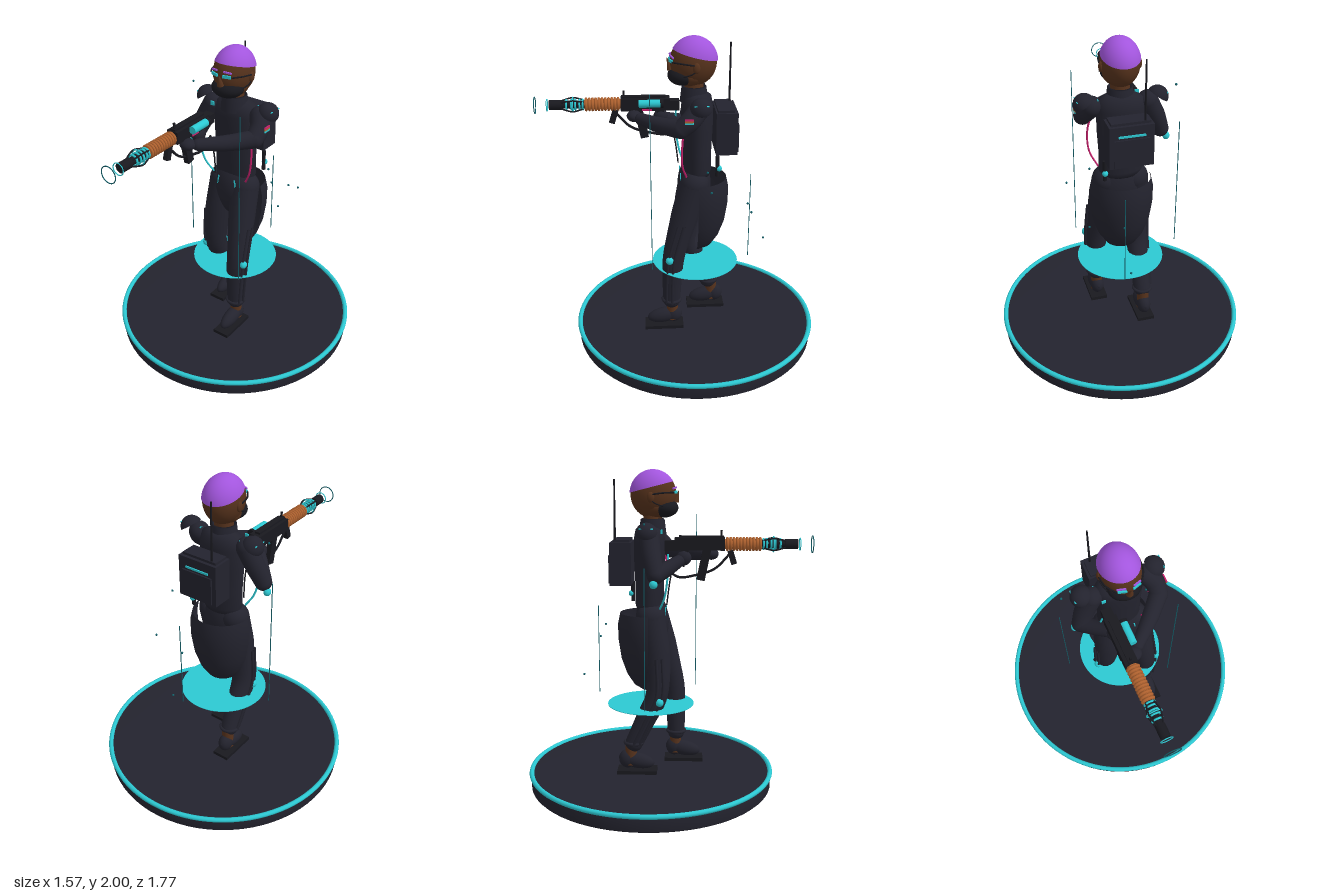
import * as THREE from 'three';

const mat = (name, color, side = THREE.FrontSide) => {
  const m = new THREE.MeshStandardMaterial({ color, side });
  m.name = name;
  return m;
};
const V = (a) => new THREE.Vector3(...a);

export function createModel() {
  const root = new THREE.Group();
  const dark = mat('dark suit', 0x23232e, THREE.DoubleSide);
  const black = mat('black metal', 0x19191f);
  const cyan = mat('cyan glow', 0x2cc8d2, THREE.DoubleSide);
  const skin = mat('brown skin', 0x56321c);
  const purple = mat('purple hair', 0xa255dd);
  const copper = mat('copper', 0xb0622f);
  const pink = mat('pink cable', 0xc8206c);
  const teal = mat('dark teal', 0x14606a);

  const add = (name, geo, m, pos = [0, 0, 0], rot = [0, 0, 0], scale = [1, 1, 1]) => {
    const mesh = new THREE.Mesh(geo, m);
    mesh.name = name;
    mesh.position.set(...pos);
    mesh.rotation.set(...rot);
    mesh.scale.set(...scale);
    root.add(mesh);
    return mesh;
  };
  const box = (name, m, size, pos, rot) => add(name, new THREE.BoxGeometry(...size), m, pos, rot);
  const ball = (name, m, r, pos, rot) => add(name, new THREE.SphereGeometry(1, 24, 16), m, pos, rot, r);
  // cylinder lying along z
  const rodZ = (name, m, r0, r1, z0, z1, x, y) =>
    add(name, new THREE.CylinderGeometry(r1, r0, z1 - z0, 20), m, [x, y, (z0 + z1) / 2], [Math.PI / 2, 0, 0]);
  const ring = (name, m, r, t, pos, rot) => add(name, new THREE.TorusGeometry(r, t, 8, 36), m, pos, rot);
  const cable = (name, m, r, pts) =>
    add(name, new THREE.TubeGeometry(new THREE.CatmullRomCurve3(pts.map(V)), 24, r, 6), m);
  // tapered limb: each point is x, y, z, radius
  const limb = (name, m, pts) => {
    const curve = new THREE.CatmullRomCurve3(pts.map((p) => V(p.slice(0, 3))));
    const seg = 28, sides = 18;
    const geo = new THREE.TubeGeometry(curve, seg, 1, sides);
    const p = geo.attributes.position, v = new THREE.Vector3();
    for (let i = 0; i <= seg; i++) {
      const c = curve.getPointAt(i / seg), f = (i / seg) * (pts.length - 1);
      const k = Math.min(Math.floor(f), pts.length - 2);
      const r = THREE.MathUtils.lerp(pts[k][3], pts[k + 1][3], f - k);
      for (let j = 0; j <= sides; j++) {
        const n = i * (sides + 1) + j;
        v.fromBufferAttribute(p, n).sub(c).multiplyScalar(r).add(c);
        p.setXYZ(n, v.x, v.y, v.z);
      }
    }
    add(name, geo, m);
    for (const e of [pts[0], pts[pts.length - 1]]) ball(name + 'End', m, [e[3], e[3], e[3]], e.slice(0, 3));
  };
  const lathe = (pts, seg = 40, start = 0, len = Math.PI * 2) =>
    new THREE.LatheGeometry(pts.map((p) => new THREE.Vector2(...p)), seg, start, len);

  // base and hologram disc
  add('base', lathe([[0, 0], [0.76, 0], [0.772, 0.012], [0.772, 0.09], [0.76, 0.1], [0, 0.1]], 72), dark, [0, 0, -0.095]);
  add('baseRim', new THREE.TorusGeometry(0.77, 0.015, 10, 96), cyan, [0, 0.1, -0.095], [Math.PI / 2, 0, 0]);
  add('hologramDisc', new THREE.CylinderGeometry(0.275, 0.275, 0.003, 56), cyan, [0, 0.53, -0.095]);
  for (const [x, z, y0, y1] of [[0.228, 0.19, 0.59, 1.72], [-0.365, -0.11, 0.585, 1.44], [0.065, -0.432, 0.58, 1.15]])
    box('lightLine', teal, [0.004, y1 - y0, 0.004], [x, (y0 + y1) / 2, z]);
  for (const p of [[0.275, 0.99, -0.41], [0.065, 0.95, -0.42], [0.056, 0.7, -0.53], [0.35, 1.157, -0.16],
    [-0.333, 1.687, -0.11], [0.207, 1.225, -0.15]]) ball('particle', teal, [0.007, 0.007, 0.007], p);

  // torso, pelvis and collar
  add('torso', lathe([[0, 1.13], [0.12, 1.14], [0.137, 1.18], [0.136, 1.3], [0.146, 1.45], [0.148, 1.58],
    [0.13, 1.64], [0.08, 1.665], [0, 1.67]]), dark, [0, 0, -0.1], [0, 0, 0], [1, 1, 0.65]);
  ball('pelvis', dark, [0.155, 0.19, 0.105], [0, 1.06, -0.085]);
  add('collar', lathe([[0.085, 1.61], [0.074, 1.7], [0.066, 1.705], [0.06, 1.64]]), dark, [0, 0, -0.08]);
  add('neck', new THREE.CylinderGeometry(0.055, 0.058, 0.15, 20), skin, [0, 1.7, -0.08]);
  // coat tail: rear half shell with a rounded lower end
  add('coatTail', lathe([[0.005, 0.62], [0.05, 0.626], [0.1, 0.66], [0.145, 0.73], [0.18, 0.83], [0.198, 0.95],
    [0.2, 1.05], [0.185, 1.12]], 32, Math.PI / 2, Math.PI), dark, [0, 0, -0.1]);
  for (const s of [-1, 1]) {
    box('beltLight', cyan, [0.007, 0.06, 0.006], [s * 0.063, 1.135, 0.003], [0, 0, s * 0.12]);
    box('collarLight', cyan, [0.006, 0.006, 0.05], [s * 0.142, 1.645, -0.1]);
  }
  box('chestLight', cyan, [0.025, 0.025, 0.008], [-0.12, 1.63, -0.02]);

  // head, hair and face
  ball('head', skin, [0.116, 0.146, 0.14], [0, 1.85, -0.075]);
  const cap = new THREE.SphereGeometry(1, 36, 16, 0, Math.PI * 2, 0, 1.27);
  cap.rotateX(-0.24);
  add('hair', cap, purple, [0, 1.85, -0.077], [0, 0, 0], [0.121, 0.15, 0.144]);
  ball('jaw', skin, [0.098, 0.07, 0.095], [0, 1.775, -0.06]);
  ball('mask', black, [0.1, 0.06, 0.09], [0, 1.769, -0.012]);
  add('nose', new THREE.ConeGeometry(0.022, 0.075, 10), skin, [0, 1.84, 0.07], [0.3, 0, 0]);
  for (const s of [-1, 1]) {
    ball('ear', skin, [0.014, 0.032, 0.022], [s * 0.114, 1.835, -0.085]);
    box('eyeLens', cyan, [0.05, 0.017, 0.009], [s * 0.042, 1.863, 0.06], [0, s * 0.3, 0]);
    box('brow', purple, [0.05, 0.009, 0.009], [s * 0.045, 1.888, 0.055], [0, s * 0.35, -s * 0.15]);
    cable('glassesArm', black, 0.005, [[s * 0.07, 1.862, 0.055], [s * 0.11, 1.86, -0.01], [s * 0.121, 1.85, -0.09]]);
    cable('maskStrap', black, 0.004, [[s * 0.1, 1.78, -0.01], [s * 0.116, 1.8, -0.06], [s * 0.118, 1.83, -0.1]]);
  }

  // legs: the left one steps forward
  const leg = (s, pts, kneePad, heelZ) => {
    limb('leg', dark, pts);
    const outer = pts.map(([x, y, z, r]) => [x + s * (r + 0.002), y, z]);
    cable('legPiping', dark, 0.01, outer.slice(1));
    cable('legPiping', dark, 0.008, outer.slice(1).map(([x, y, z]) => [x - s * 0.008, y, z + 0.035]));
    ball('kneePad', cyan, [0.022, 0.025, 0.025], kneePad);
    const a = pts[pts.length - 1];
    ring('legCuff', dark, 0.056, 0.011, [a[0], 0.305, a[2]], [Math.PI / 2, 0, 0]);
    add('ankle', new THREE.CylinderGeometry(0.036, 0.04, 0.14, 16), skin, [a[0], 0.23, (a[2] + heelZ + 0.06) / 2]);
    ball('boot', dark, [0.045, 0.05, 0.115], [a[0], 0.185, heelZ + 0.115], [0.2, 0, 0]);
    ball('bootHeel', dark, [0.044, 0.06, 0.055], [a[0], 0.195, heelZ + 0.058]);
    box('sole', black, [0.11, 0.022, 0.25], [a[0], 0.118, heelZ + 0.12]);
  };
  leg(1, [[0.085, 1.1, -0.08, 0.09], [0.105, 0.86, -0.01, 0.086], [0.122, 0.62, 0.05, 0.072],
    [0.122, 0.45, 0.062, 0.065], [0.122, 0.3, 0.065, 0.056]], [0.19, 0.622, 0.08], -0.005);
  leg(-1, [[-0.085, 1.1, -0.09, 0.09], [-0.105, 0.86, -0.05, 0.086], [-0.122, 0.62, -0.05, 0.072],
    [-0.122, 0.45, -0.125, 0.065], [-0.122, 0.3, -0.195, 0.056]], [-0.19, 0.585, -0.03], -0.295);

  // arms
  limb('rightUpperArm', dark, [[-0.165, 1.6, -0.09, 0.062], [-0.22, 1.49, -0.075, 0.06], [-0.262, 1.385, -0.05, 0.052]]);
  limb('rightForearm', dark, [[-0.262, 1.385, -0.05, 0.052], [-0.2, 1.42, 0.02, 0.046], [-0.14, 1.46, 0.09, 0.036]]);
  limb('leftUpperArm', dark, [[0.175, 1.6, -0.09, 0.062], [0.205, 1.55, -0.045, 0.06], [0.205, 1.5, 0.01, 0.055]]);
  limb('leftForearm', dark, [[0.205, 1.5, 0.01, 0.055], [0.09, 1.49, 0.13, 0.048], [-0.03, 1.49, 0.24, 0.036]]);
  ball('rightHand', dark, [0.038, 0.045, 0.045], [-0.125, 1.475, 0.115]);
  ball('leftHand', dark, [0.05, 0.035, 0.045], [-0.075, 1.495, 0.28]);
  ball('elbowPad', cyan, [0.022, 0.025, 0.025], [-0.298, 1.335, -0.06]);
  for (const s of [-1, 1]) {
    add('shoulderPad', new THREE.SphereGeometry(0.066, 24, 10, 0, Math.PI * 2, 0, 1.45), dark,
      [s * 0.22, 1.625, -0.105], [0, 0, -s * 0.6], [1, 1, 1]);
    for (const z of [-0.075, -0.135]) box('shoulderLight', cyan, [0.006, 0.007, 0.025], [s * 0.268, 1.655, z], [0, 0, -s * 0.6]);
  }
  [pink, copper, cyan].forEach((m, i) => box('armPatch', m, [0.008, 0.01, 0.05], [0.262, 1.575 - i * 0.011, -0.035]));

  // backpack, antenna and hanging gear
  box('backpack', dark, [0.265, 0.26, 0.13], [0, 1.435, -0.27]);
  box('packTop', dark, [0.235, 0.02, 0.1], [0, 1.57, -0.265]);
  box('packPocket', dark, [0.21, 0.17, 0.02], [0, 1.4, -0.335]);
  box('packLight', cyan, [0.16, 0.012, 0.008], [0, 1.505, -0.338]);
  add('antenna', new THREE.CylinderGeometry(0.005, 0.007, 0.38, 8), black, [-0.085, 1.75, -0.305]);
  add('gearStrap', new THREE.CylinderGeometry(0.012, 0.012, 0.13, 10), black, [0.13, 1.235, -0.215]);
  ball('gearLight', cyan, [0.018, 0.018, 0.018], [0.13, 1.22, -0.225]);

  // cables on the torso
  cable('pinkCable', pink, 0.006, [[0.15, 1.54, -0.02], [0.18, 1.4, 0], [0.17, 1.26, 0], [0.12, 1.16, -0.03]]);
  cable('cyanCable', cyan, 0.006, [[-0.15, 1.5, 0.02], [-0.185, 1.38, 0.02], [-0.165, 1.24, 0], [-0.12, 1.16, -0.03]]);
  cable('hangingStrap', black, 0.005, [[-0.08, 1.44, 0.05], [-0.075, 1.3, 0.025], [-0.08, 1.18, 0.01]]);

  // rifle along +z
  const gx = -0.12, gy = 1.56;
  box('receiver', black, [0.075, 0.075, 0.3], [gx, gy, 0.21]);
  box('stock', black, [0.06, 0.06, 0.08], [gx, gy - 0.01, 0.04]);
  box('topRail', black, [0.035, 0.015, 0.27], [gx, gy + 0.042, 0.22]);
  rodZ('powerCell', cyan, 0.024, 0.024, 0.12, 0.25, -0.063, 1.575);
  rodZ('powerCellCap', black, 0.026, 0.026, 0.1, 0.12, -0.063, 1.575);
  box('sideLight', pink, [0.008, 0.012, 0.06], [-0.08, 1.53, 0.2]);
  rodZ('barrelCore', copper, 0.03, 0.03, 0.34, 0.58, gx, gy);
  for (let i = 0; i < 11; i++) ring('coil', copper, 0.034, 0.0085, [gx, gy, 0.375 + i * 0.0195]);
  rodZ('barrel', black, 0.026, 0.022, 0.57, 0.72, gx, gy);
  for (const z of [0.59, 0.61, 0.635, 0.66, 0.69]) ring('barrelRing', cyan, 0.03, 0.006, [gx, gy, z]);
  ring('cageRing', cyan, 0.045, 0.004, [gx, gy, 0.65]);
  for (let i = 0; i < 4; i++) {
    const c = Math.cos(i * Math.PI / 2 + 0.78), s = Math.sin(i * Math.PI / 2 + 0.78);
    cable('cageBar', black, 0.005, [[gx + c * 0.03, gy + s * 0.03, 0.585], [gx + c * 0.048, gy + s * 0.048, 0.65],
      [gx + c * 0.028, gy + s * 0.028, 0.72]]);
  }
  rodZ('muzzle', black, 0.03, 0.03, 0.72, 0.795, gx, gy);
  ring('muzzleRing', cyan, 0.036, 0.003, [gx, gy, 0.808]);
  ring('pulseRing', teal, 0.05, 0.003, [gx, gy, 0.882]);
  box('frontSight', black, [0.01, 0.045, 0.012], [gx, 1.62, 0.34]);
  box('foregrip', black, [0.03, 0.085, 0.035], [gx, 1.48, 0.405], [-0.3, 0, 0]);
  box('pistolGrip', black, [0.035, 0.11, 0.045], [gx, 1.48, 0.11], [0.25, 0, 0]);
  box('magazine', black, [0.036, 0.19, 0.05], [gx, 1.435, 0.235], [0.2, 0, 0]);
  cable('sling', black, 0.008, [[gx, 1.5, 0.39], [gx, 1.41, 0.3], [gx, 1.37, 0.18], [gx, 1.36, 0.08], [gx, 1.42, 0.0]]);
  box('slingLight', cyan, [0.02, 0.05, 0.008], [-0.11, 1.4, 0.02], [0.5, 0, 0]);
  return root;
}
